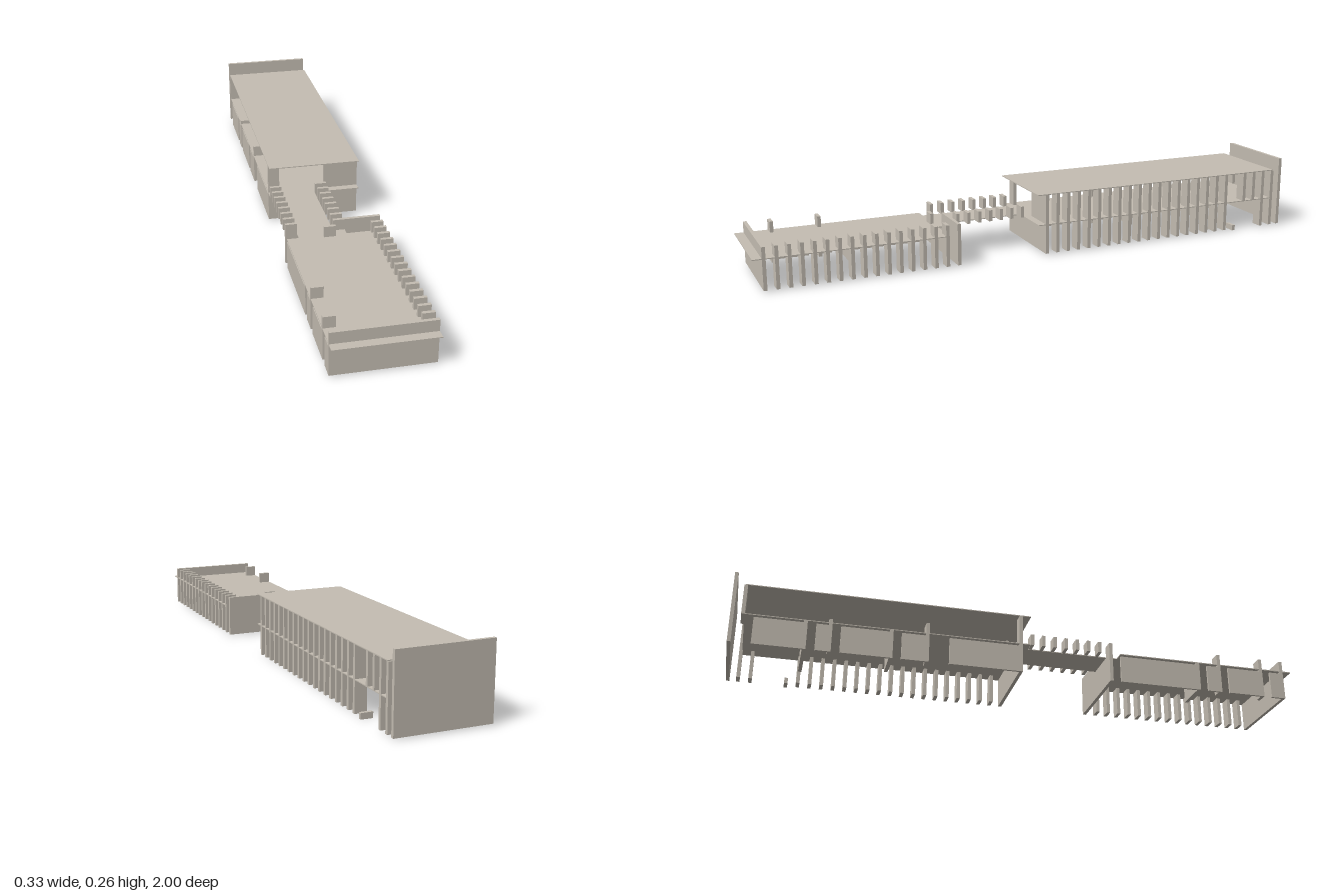
import * as THREE from 'three';

export function createModel() {
  const model = new THREE.Group();
  const mat = new THREE.MeshStandardMaterial({ color: 0xc4bdb2, flatShading: true });
  const W = 0.163, T = 0.012;              // half width, wall thickness
  const BASE = 0.005, FLOOR = 0.11, RAIL = 0.15, ROOF = 0.217;
  const bay = k => 0.963 - 0.0409 * k;     // structural grid along the length

  // box given by its limits
  function block(name, x0, x1, y0, y1, z0, z1) {
    const m = new THREE.Mesh(new THREE.BoxGeometry(x1 - x0, y1 - y0, z1 - z0), mat);
    m.position.set((x0 + x1) / 2, (y0 + y1) / 2, (z0 + z1) / 2);
    m.name = name;
    model.add(m);
  }
  // cross wall or fin standing on a grid line
  const cross = (name, k, x0, x1, y0, y1) =>
    block(name, x0, x1, y0, y1, bay(k) - T / 2, bay(k) + T / 2);

  // floor slabs and roof
  block('frontFloor', -W, W, FLOOR - 0.001, FLOOR + 0.002, 0.343, 1);
  block('bridgeLanding', -0.123, 0.04, FLOOR - 0.001, FLOOR + 0.002, 0.303, 0.343);
  block('bridgeFloor', -0.123, 0, FLOOR - 0.001, FLOOR + 0.002, 0.015, 0.303);
  block('backFloor', -W, W, FLOOR - 0.001, FLOOR + 0.002, -0.955, 0.015);
  block('roof', -W, W, ROOF, ROOF + 0.003, -0.96, 0.017);

  // end walls and full-width cross walls
  cross('frontWall', 0, -W, W, BASE, RAIL);
  block('endWall', -W, W, BASE, 0.26, -1, -0.988);
  cross('bridgeWall', 16, -W, W, BASE, FLOOR);
  cross('bridgeWallTop', 16, 0, W, FLOOR, RAIL);
  cross('backBlockWall', 24, -W, W, BASE, FLOOR);
  cross('upperFrontWall', 24, 0.04, W, FLOOR, ROOF);
  cross('upperFrontPier', 24, -W, -0.123, FLOOR, ROOF);
  cross('upperBackPier', 47, -W, -0.085, FLOOR, ROOF);

  // partial cross walls of the ground-floor rooms
  for (const [k, x] of [[8, -0.04], [35, -0.045], [42, 0.025]])
    cross('roomWall', k, -W, x, BASE, FLOOR);

  // long ground-floor panels on the right side, between grid lines
  for (const [a, b] of [[0, 1], [2, 5], [6, 7], [8, 15], [24, 30], [32, 34], [35, 39], [40, 41], [42, 46]])
    block('sidePanel', -W, -W + 0.008, BASE, 0.102, bay(b) - T / 2, bay(a) + T / 2);

  // fins along the left side of the front block
  for (let k = 1; k <= 15; k++) cross('frontFin', k, 0.122, W, BASE, RAIL);

  // railing fins on both sides of the bridge
  for (let k = 16; k <= 23; k++) {
    cross('bridgeFinRight', k, -W, -0.123, FLOOR, RAIL);
    if (k > 16) cross('bridgeFinLeft', k, 0, 0.04, FLOOR, RAIL);
  }

  // two-storey fins along the left side of the back block
  for (let k = 24; k <= 47; k++) {
    if (k === 43) cross('entranceStep', k, 0.122, W, 0, 0.02);
    else cross('backFin', k, 0.122, W, k === 44 || k === 45 ? FLOOR : BASE, ROOF);
  }

  // single fins on the right side and the stub at the bridge
  for (const [k, top] of [[2, RAIL], [6, RAIL], [32, RAIL], [40, 0.125]])
    cross('rightFin', k, -W, -0.123, BASE, top);
  cross('landingStub', 15, -0.04, 0, FLOOR, RAIL);

  return model;
}
